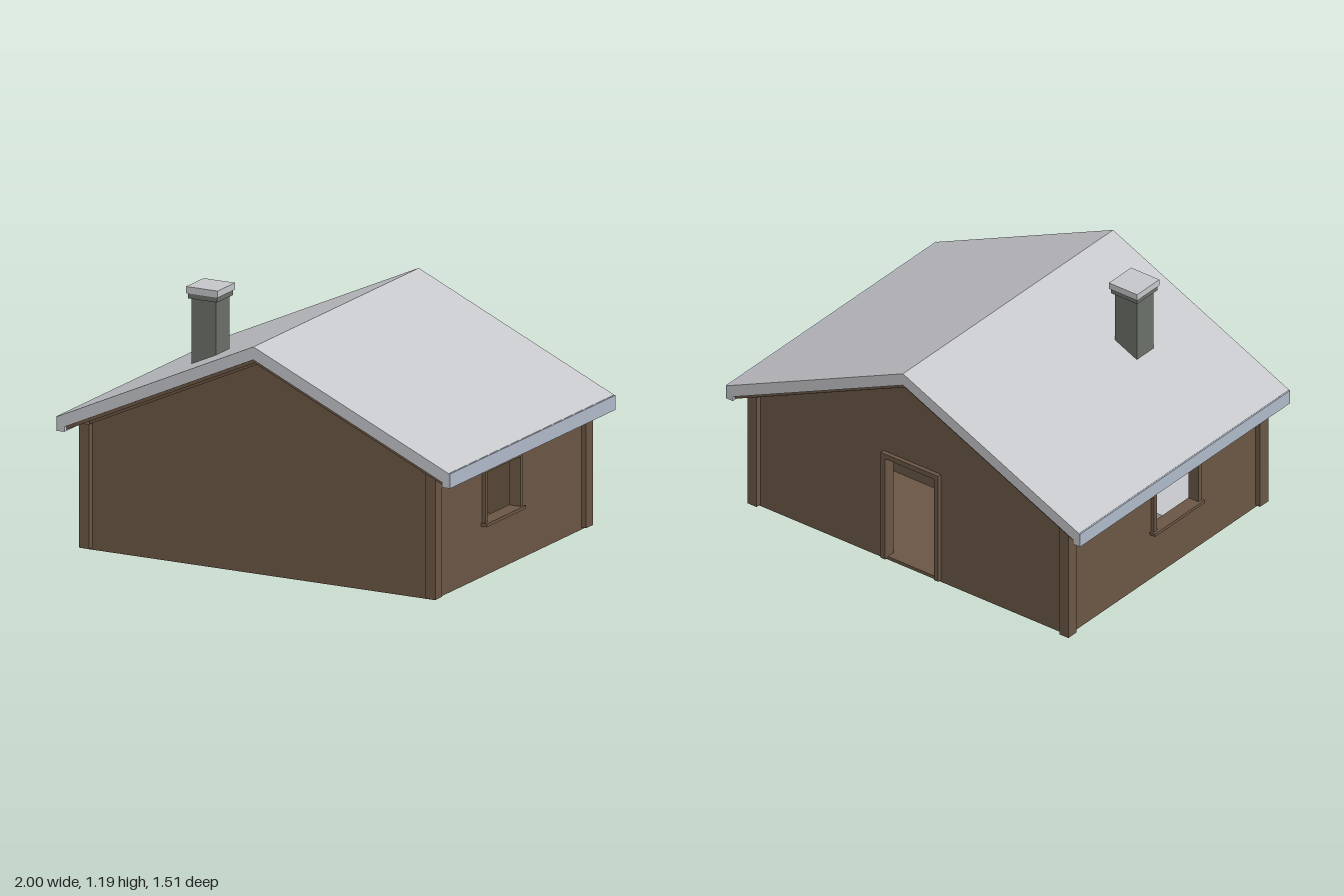
import * as THREE from 'three';

const mat = (name, color) => {
  const m = new THREE.MeshStandardMaterial({ color });
  m.name = name;
  return m;
};

export function createModel() {
  const wood = mat('brown wood', 0x6b5745);
  const roofing = mat('grey roofing', 0xc6c7cb);
  const fasciaPaint = mat('blue grey fascia', 0xb0bbca);
  const stone = mat('dark chimney', 0x6c7069);

  const house = new THREE.Group();
  house.name = 'cabin';
  const SLOPE = 0.455;

  const add = (name, geometry, material) => {
    const mesh = new THREE.Mesh(geometry, material);
    mesh.name = name;
    house.add(mesh);
    return mesh;
  };
  // Box given by its lower and upper corners
  const box = (name, material, x0, x1, y0, y1, z0, z1) => {
    const mesh = add(name, new THREE.BoxGeometry(x1 - x0, y1 - y0, z1 - z0), material);
    mesh.position.set((x0 + x1) / 2, (y0 + y1) / 2, (z0 + z1) / 2);
    return mesh;
  };
  const polygon = (points) => new THREE.Shape(points.map(([x, y]) => new THREE.Vector2(x, y)));
  // Outline in x and y, extruded from z0 to z1
  const slab = (name, material, shape, z0, z1) => {
    const g = new THREE.ExtrudeGeometry(shape, { depth: z1 - z0, bevelEnabled: false });
    return add(name, g.translate(0, 0, z0), material);
  };
  // Bent band that follows both roof slopes
  const chevron = (half, top, thick) => polygon([
    [-half, top - SLOPE * half - thick], [0, top - thick], [half, top - SLOPE * half - thick],
    [half, top - SLOPE * half], [0, top], [-half, top - SLOPE * half],
  ]);

  // Floor
  box('floor', wood, -0.88, 0.88, 0, 0.015, -0.69, 0.69);

  // Gable walls; the back one has a doorway
  const gable = () => polygon([[-0.88, 0], [0.88, 0], [0.88, 0.59], [0, 0.99], [-0.88, 0.59]]);
  slab('frontWall', wood, gable(), 0.655, 0.69);
  const backShape = gable();
  backShape.holes.push(polygon([[-0.14, 0.016], [-0.14, 0.54], [0.14, 0.54], [0.14, 0.016]]));
  slab('backWall', wood, backShape, -0.69, -0.655);

  // Door frame
  for (const s of [-1, 1]) {
    box('doorJamb', wood, s * 0.15 - 0.012, s * 0.15 + 0.012, 0.01, 0.54, -0.71, -0.65);
  }
  box('doorLintel', wood, -0.162, 0.162, 0.54, 0.565, -0.71, -0.65);

  // Side walls with windows, trim and eaves
  const W = { z0: -0.072, z1: 0.228, y0: 0.25, y1: 0.48 };
  for (const s of [-1, 1]) {
    const side = polygon([[-0.655, 0], [0.655, 0], [0.655, 0.59], [-0.655, 0.59]]);
    side.holes.push(polygon([[-W.z1, W.y0], [-W.z1, W.y1], [-W.z0, W.y1], [-W.z0, W.y0]]));
    const g = new THREE.ExtrudeGeometry(side, { depth: 0.035, bevelEnabled: false });
    g.rotateY(Math.PI / 2).translate(s > 0 ? 0.845 : -0.88, 0, 0);
    add('sideWall', g, wood);

    const sideBox = (name, material, a, b, ...rest) =>
      box(name, material, Math.min(s * a, s * b), Math.max(s * a, s * b), ...rest);
    sideBox('windowJamb', wood, 0.84, 0.897, W.y0, W.y1, W.z0 - 0.02, W.z0);
    sideBox('windowJamb', wood, 0.84, 0.897, W.y0, W.y1, W.z1, W.z1 + 0.02);
    sideBox('windowHead', wood, 0.84, 0.897, W.y1, W.y1 + 0.02, W.z0 - 0.02, W.z1 + 0.02);
    sideBox('windowSill', wood, 0.84, 0.91, W.y0 - 0.015, W.y0, W.z0 - 0.03, W.z1 + 0.03);

    sideBox('fascia', fasciaPaint, 0.993, 1, 0.545, 0.612, -0.757, 0.757);
    for (const z of [-0.69, 0.69]) {
      sideBox('cornerPost', wood, 0.855, 0.905, 0.01, 0.585, z - 0.03, z + 0.03);
    }
  }

  // Roof covering with down-turned eaves
  slab('roof', roofing, polygon([
    [-0.993, 0.545], [-0.96, 0.545], [-0.96, 0.568], [0, 1.005], [0.96, 0.568], [0.96, 0.545],
    [0.993, 0.545], [0.993, 0.613], [0, 1.065], [-0.993, 0.613],
  ]), -0.757, 0.757);

  // Boards under the roof and along the gables
  slab('soffit', wood, chevron(0.957, 1.004, 0.016), -0.745, 0.745);
  slab('rakeBoard', wood, chevron(0.856, 0.99, 0.016), 0.688, 0.715);
  slab('rakeBoard', wood, chevron(0.856, 0.99, 0.016), -0.715, -0.688);

  // Chimney
  box('chimneyStack', stone, -0.517, -0.393, 0.78, 1.135, 0.268, 0.39);
  box('chimneyCollar', stone, -0.529, -0.381, 1.133, 1.157, 0.255, 0.403);
  box('chimneyCap', roofing, -0.535, -0.375, 1.157, 1.188, 0.248, 0.408);

  // Simple furniture inside
  box('bench', wood, 0.29, 0.58, 0.015, 0.19, -0.115, 0.1);
  box('bed', roofing, -0.84, -0.42, 0.015, 0.12, 0.2, 0.65);

  return house;
}
